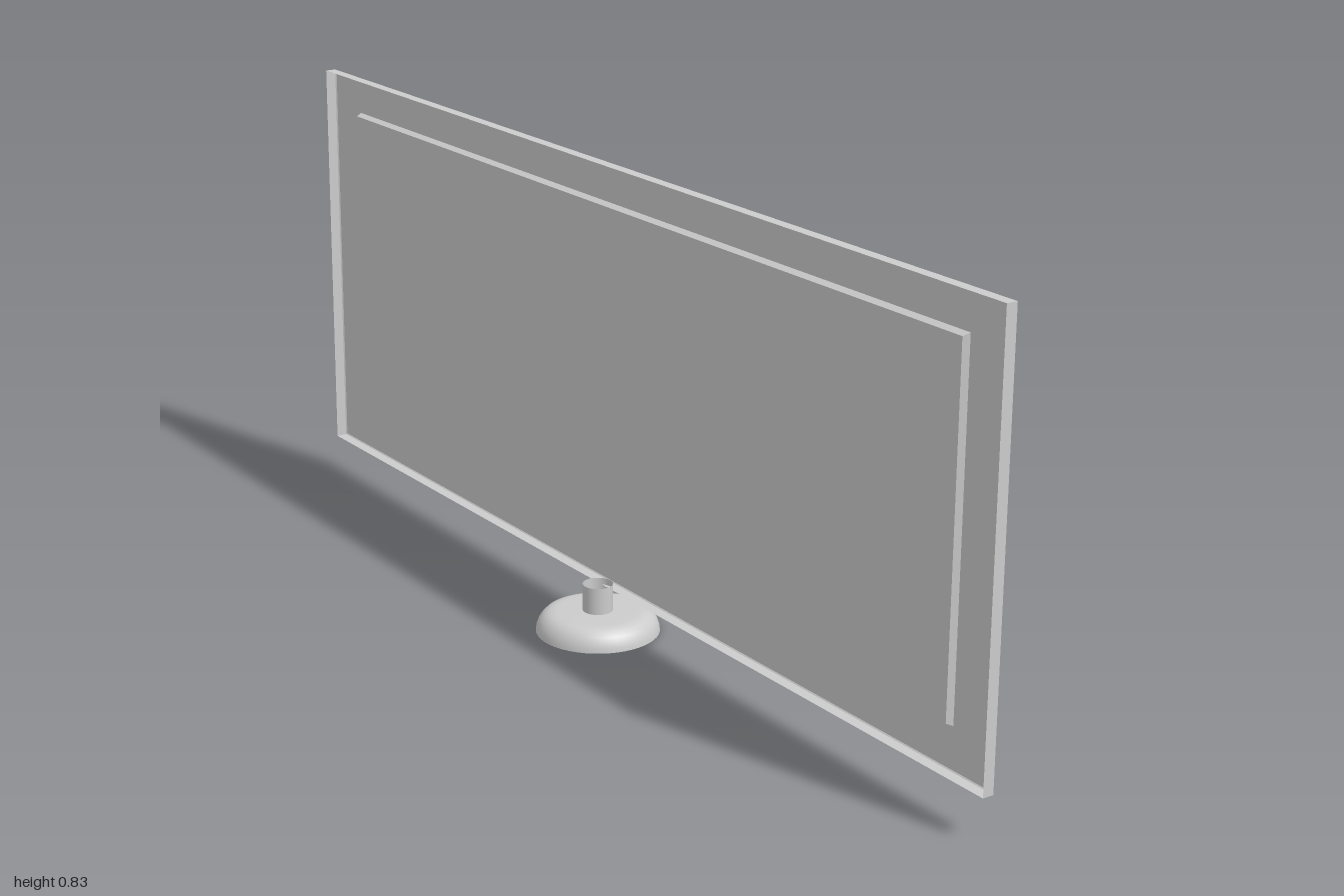
import * as THREE from 'three';

const material = new THREE.MeshStandardMaterial({ color: 0xcccccc, side: THREE.DoubleSide });

// Skin a series of rectangles [x, halfZ, halfY, centreY], closing the last one
function rectangleShell(sections) {
  const rings = sections.map(([x, hz, hy, cy]) => [
    [x, cy - hy, hz], [x, cy - hy, -hz], [x, cy + hy, -hz], [x, cy + hy, hz],
  ]);
  const positions = [];
  const quad = (a, b, c, d) => positions.push(...a, ...b, ...c, ...a, ...c, ...d);
  for (let i = 0; i < rings.length - 1; i++) {
    for (let k = 0; k < 4; k++) {
      const n = (k + 1) % 4;
      quad(rings[i][k], rings[i][n], rings[i + 1][n], rings[i + 1][k]);
    }
  }
  quad(...rings[rings.length - 1]);
  const geometry = new THREE.BufferGeometry();
  geometry.setAttribute('position', new THREE.Float32BufferAttribute(positions, 3));
  geometry.computeVertexNormals();
  return geometry;
}

export function createModel() {
  const group = new THREE.Group();
  const add = (name, geometry) => {
    const mesh = new THREE.Mesh(geometry, material);
    mesh.name = name;
    group.add(mesh);
    return mesh;
  };

  // Thin panel, open at the back, with a shallow recessed screen facing +x
  add('panel', rectangleShell([
    [0.02, 1, 0.38, 0.455],
    [0.04, 1, 0.38, 0.455],
    [0.042, 0.998, 0.378, 0.455],
    [0.042, 0.903, 0.308, 0.457],
    [0.031, 0.898, 0.303, 0.457],
  ]));

  // Hollow domed foot with a hole in the middle
  const profile = [
    [0.11, 0], [0.109, 0.008], [0.106, 0.017], [0.101, 0.025],
    [0.094, 0.032], [0.085, 0.036], [0.073, 0.038], [0.027, 0.038],
  ].map(([r, y]) => new THREE.Vector2(r, y));
  add('foot', new THREE.LatheGeometry(profile, 48));

  // Open tube post
  add('post', new THREE.CylinderGeometry(0.027, 0.027, 0.049, 32, 1, true)).position.y = 0.0625;

  return group;
}
